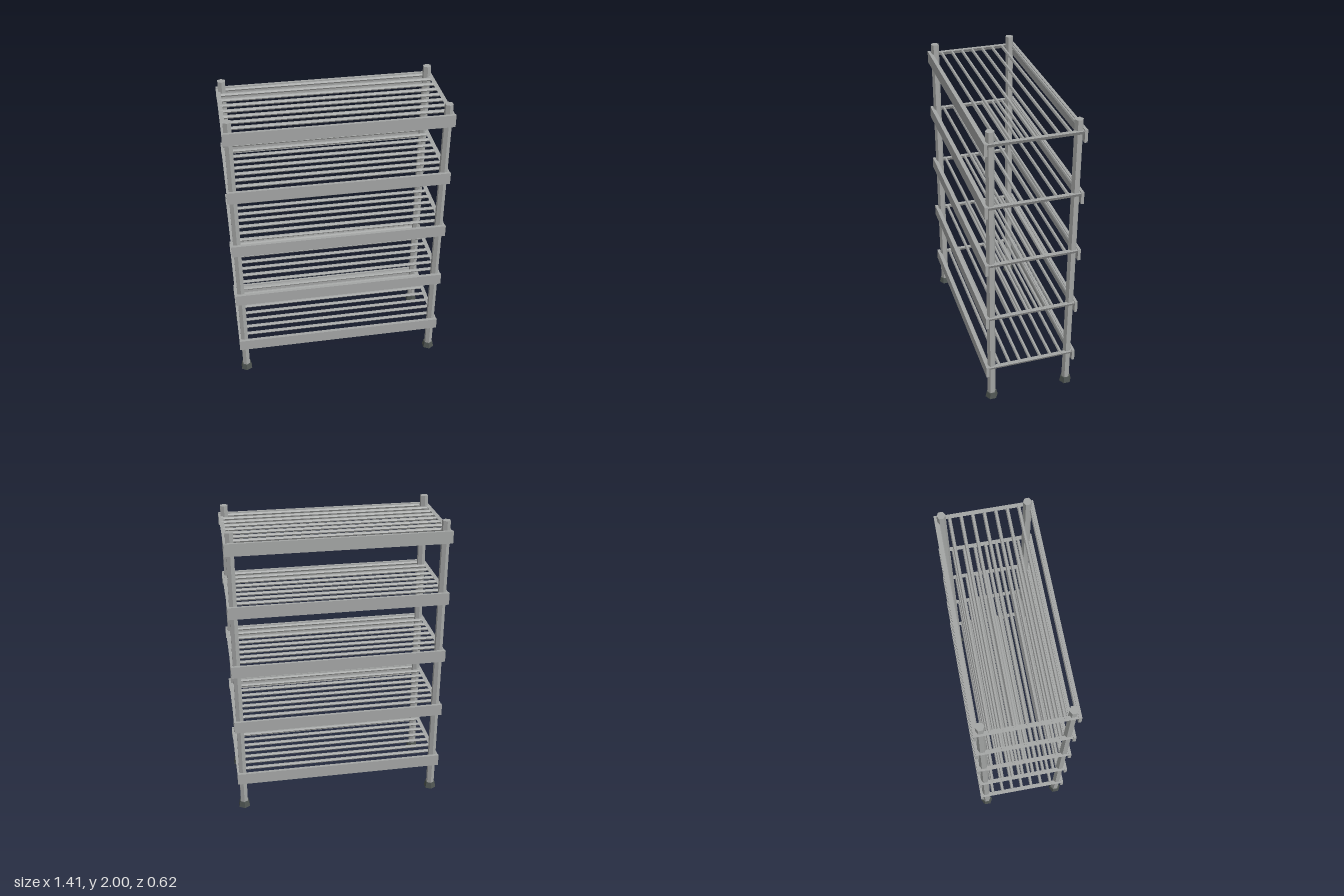
import * as THREE from 'three';

export function createModel() {
  const group = new THREE.Group();
  const steel = new THREE.MeshStandardMaterial({ color: 0xa4a6a5, flatShading: true });
  steel.name = 'brushed steel grey';
  const rubber = new THREE.MeshStandardMaterial({ color: 0x4e5451, flatShading: true });
  rubber.name = 'dark rubber grey';

  const add = (parent, name, geometry, material, x, y, z) => {
    const mesh = new THREE.Mesh(geometry, material);
    mesh.name = name;
    mesh.position.set(x, y, z);
    parent.add(mesh);
  };

  // Hexagonal posts on flared feet
  const postX = 0.668, postZ = 0.264;
  const postGeo = new THREE.CylinderGeometry(0.0275, 0.0275, 1.98, 6);
  const footGeo = new THREE.CylinderGeometry(0.034, 0.0425, 0.042, 6);
  for (const sx of [-1, 1]) {
    for (const sz of [-1, 1]) {
      const label = (sz > 0 ? 'front' : 'back') + (sx > 0 ? 'Left' : 'Right');
      add(group, label + 'Post', postGeo, steel, sx * postX, 1.01, sz * postZ);
      add(group, label + 'Foot', footGeo, rubber, sx * postX, 0.021, sz * postZ);
    }
  }

  // Shelf parts: long flat rails, flat-topped end bars and thin rods
  const railGeo = new THREE.BoxGeometry(1.412, 0.08, 0.019);
  const barGeo = new THREE.CylinderGeometry(0.0163, 0.0163, 0.586, 3).rotateX(Math.PI / 2);
  const rodGeo = new THREE.CylinderGeometry(0.0113, 0.0113, 1.383, 6).rotateZ(Math.PI / 2);
  const rodCount = 9, rodPitch = 0.0715;

  for (let i = 0; i < 5; i++) {
    const shelf = new THREE.Group();
    shelf.name = 'shelf' + (i + 1);
    shelf.position.y = 0.246 + i * 0.4137;
    add(shelf, 'frontRail', railGeo, steel, 0, 0, 0.2985);
    add(shelf, 'backRail', railGeo, steel, 0, 0, -0.2985);
    add(shelf, 'leftBar', barGeo, steel, 0.6915, 0.025, 0);
    add(shelf, 'rightBar', barGeo, steel, -0.6915, 0.025, 0);
    for (let r = 0; r < rodCount; r++) {
      add(shelf, 'rod' + (r + 1), rodGeo, steel, 0, 0.025, (r - (rodCount - 1) / 2) * rodPitch);
    }
    group.add(shelf);
  }
  return group;
}
